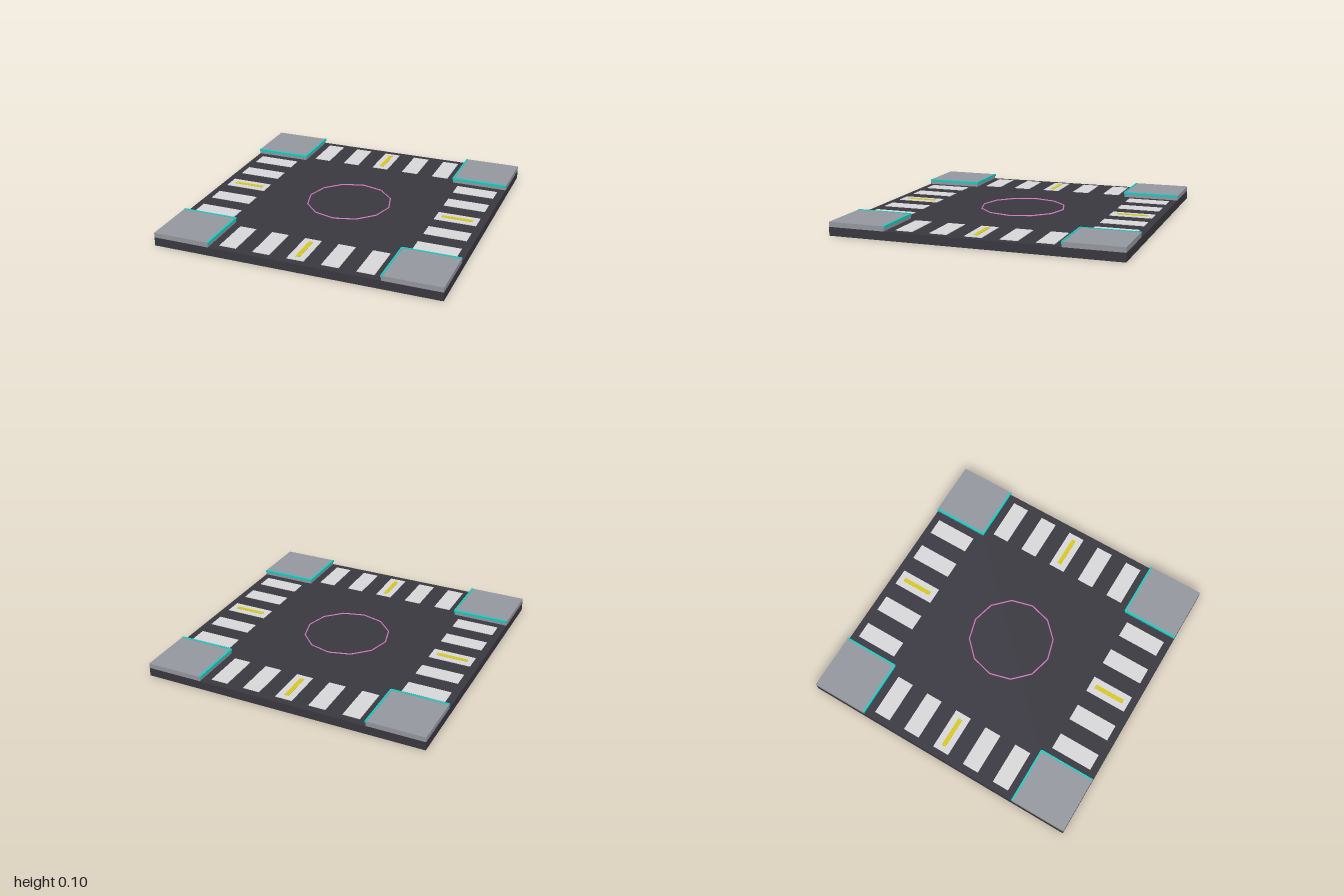
import * as THREE from 'three';

const material = (name, color) => {
  const m = new THREE.MeshStandardMaterial({ color });
  m.name = name;
  return m;
};

export function createModel() {
  const asphalt = material('asphalt', 0x3a3840);
  const concrete = material('concrete', 0x94979e);
  const paint = material('white paint', 0xd8d8da);
  const yellow = material('yellow paint', 0xd8c81c);
  const teal = material('teal trim', 0x10cfc6);
  const pink = material('pink ring', 0xe67fd0);

  const model = new THREE.Group();
  model.name = 'intersection';

  // Box placed by its bottom height
  const box = (parent, name, mat, [w, h, d], [x, y, z]) => {
    const mesh = new THREE.Mesh(new THREE.BoxGeometry(w, h, d), mat);
    mesh.name = name;
    mesh.position.set(x, y + h / 2, z);
    parent.add(mesh);
  };

  const top = 0.06;
  box(model, 'roadSlab', asphalt, [2, top, 2], [0, 0, 0]);

  // Raised pavement corners with trim along both inner kerbs
  for (const sx of [-1, 1]) {
    for (const sz of [-1, 1]) {
      const corner = new THREE.Group();
      corner.name = 'pavementCorner';
      box(corner, 'pavement', concrete, [0.4, 0.034, 0.4], [sx * 0.8, top, sz * 0.8]);
      box(corner, 'kerbTrim', teal, [0.012, 0.016, 0.4], [sx * 0.6, 0.081, sz * 0.8]);
      box(corner, 'kerbTrim', teal, [0.4, 0.016, 0.012], [sx * 0.8, 0.081, sz * 0.6]);
      model.add(corner);
    }
  }

  // One crossing per side: five bars and a yellow centre dash
  for (let side = 0; side < 4; side++) {
    const crossing = new THREE.Group();
    crossing.name = 'crossing';
    crossing.rotation.y = side * Math.PI / 2;
    for (let i = -2; i <= 2; i++) {
      box(crossing, 'crossingBar', paint, [0.12, 0.004, 0.3], [i * 0.24, top, 0.8]);
    }
    box(crossing, 'centreDash', yellow, [0.03, 0.003, 0.22], [0, top + 0.004, 0.8]);
    model.add(crossing);
  }

  // Thin twelve-sided ring in the middle of the junction
  const ring = new THREE.Mesh(new THREE.TorusGeometry(0.3, 0.005, 4, 12), pink);
  ring.name = 'centreRing';
  ring.rotation.x = -Math.PI / 2;
  ring.position.y = 0.063;
  model.add(ring);

  return model;
}
